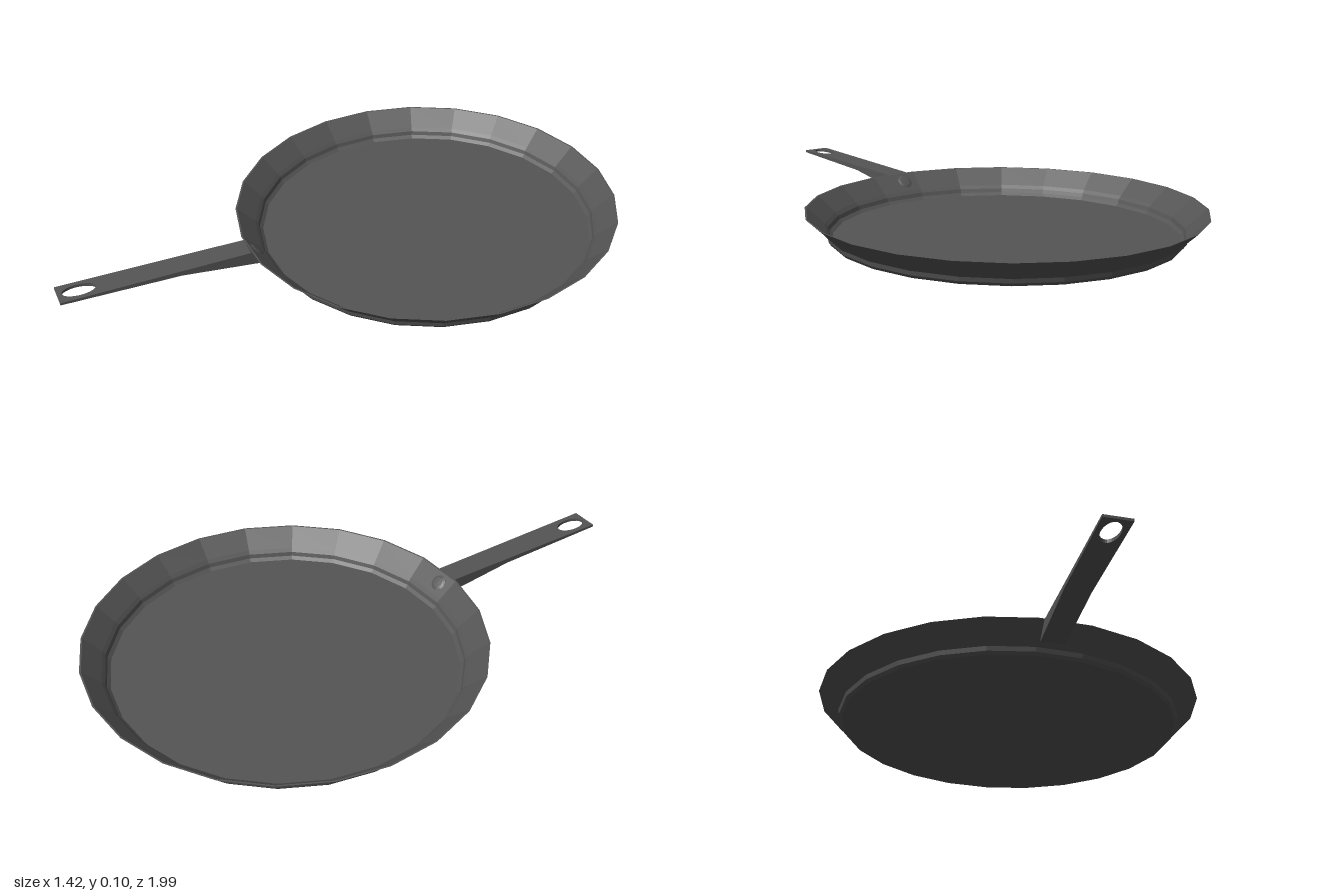
import * as THREE from 'three';

const PAN_Z = -0.29;

// Interpolate y along a list of [r, y] points.
function heightAt(points, r) {
  for (let i = 1; i < points.length; i++) {
    const [r0, y0] = points[i - 1], [r1, y1] = points[i];
    if (r <= r1 || i === points.length - 1) return y0 + ((y1 - y0) * (r - r0)) / (r1 - r0);
  }
}

export function createModel() {
  const group = new THREE.Group();
  const iron = new THREE.MeshStandardMaterial({ color: 0x555555, flatShading: true });

  function add(name, geometry, parent) {
    const mesh = new THREE.Mesh(geometry, iron);
    mesh.name = name;
    parent.add(mesh);
    return mesh;
  }

  // Shallow pan: rounded base corner, then a flared wall, with a thin shell
  const profile = [
    [0, 0], [0.605, 0], [0.622, 0.005], [0.631, 0.016], [0.635, 0.032], [0.645, 0.043], [0.71, 0.103],
    [0.704, 0.103], [0.64, 0.046], [0.629, 0.034], [0.624, 0.02], [0.612, 0.01], [0, 0.008],
  ].map(([r, y]) => new THREE.Vector2(r, y));
  add('pan', new THREE.LatheGeometry(profile, 24), group).position.z = PAN_Z;

  // Handle runs radially outward along its local +z
  const handle = new THREE.Group();
  handle.name = 'handle';
  handle.position.z = PAN_Z;
  handle.rotation.y = -0.44;
  group.add(handle);

  const top = [[0.65, 0.05], [0.705, 0.099], [1.39, 0.09]];
  const bottom = [[0.65, 0.044], [0.96, 0.077], [1.39, 0.081]];
  const halfWidth = (r) => 0.043 + (0.006 * (r - 0.65)) / 0.74;

  // Straight section of the handle between two radii, shaped by its top and bottom lines
  function section(name, r0, r1, hole) {
    const shape = new THREE.Shape([
      new THREE.Vector2(-halfWidth(r0), r0), new THREE.Vector2(halfWidth(r0), r0),
      new THREE.Vector2(halfWidth(r1), r1), new THREE.Vector2(-halfWidth(r1), r1),
    ]);
    if (hole) shape.holes.push(hole);
    const geometry = new THREE.ExtrudeGeometry(shape, { depth: 1, bevelEnabled: false, curveSegments: 16 });
    const p = geometry.attributes.position;
    for (let i = 0; i < p.count; i++) {
      const r = p.getY(i);
      p.setXYZ(i, -p.getX(i), heightAt(p.getZ(i) > 0.5 ? top : bottom, r), r);
    }
    geometry.computeVertexNormals();
    add(name, geometry, handle);
  }

  const hangingHole = new THREE.Path();
  hangingHole.absellipse(0, 1.315, 0.031, 0.059, 0, Math.PI * 2, true);
  section('handleRoot', 0.65, 0.705);
  section('handleWedge', 0.705, 0.96);
  section('handleGrip', 0.96, 1.39, hangingHole);

  // Rivet head lying on the sloped inner wall
  const rivetProfile = [[0.03, -0.004], [0.03, 0.003], [0.019, 0.007], [0, 0.008]]
    .map(([r, y]) => new THREE.Vector2(r, y));
  const rivet = add('rivet', new THREE.LatheGeometry(rivetProfile, 16), handle);
  rivet.position.set(0, 0.074, 0.671);
  rivet.rotation.x = -0.74;

  return group;
}
